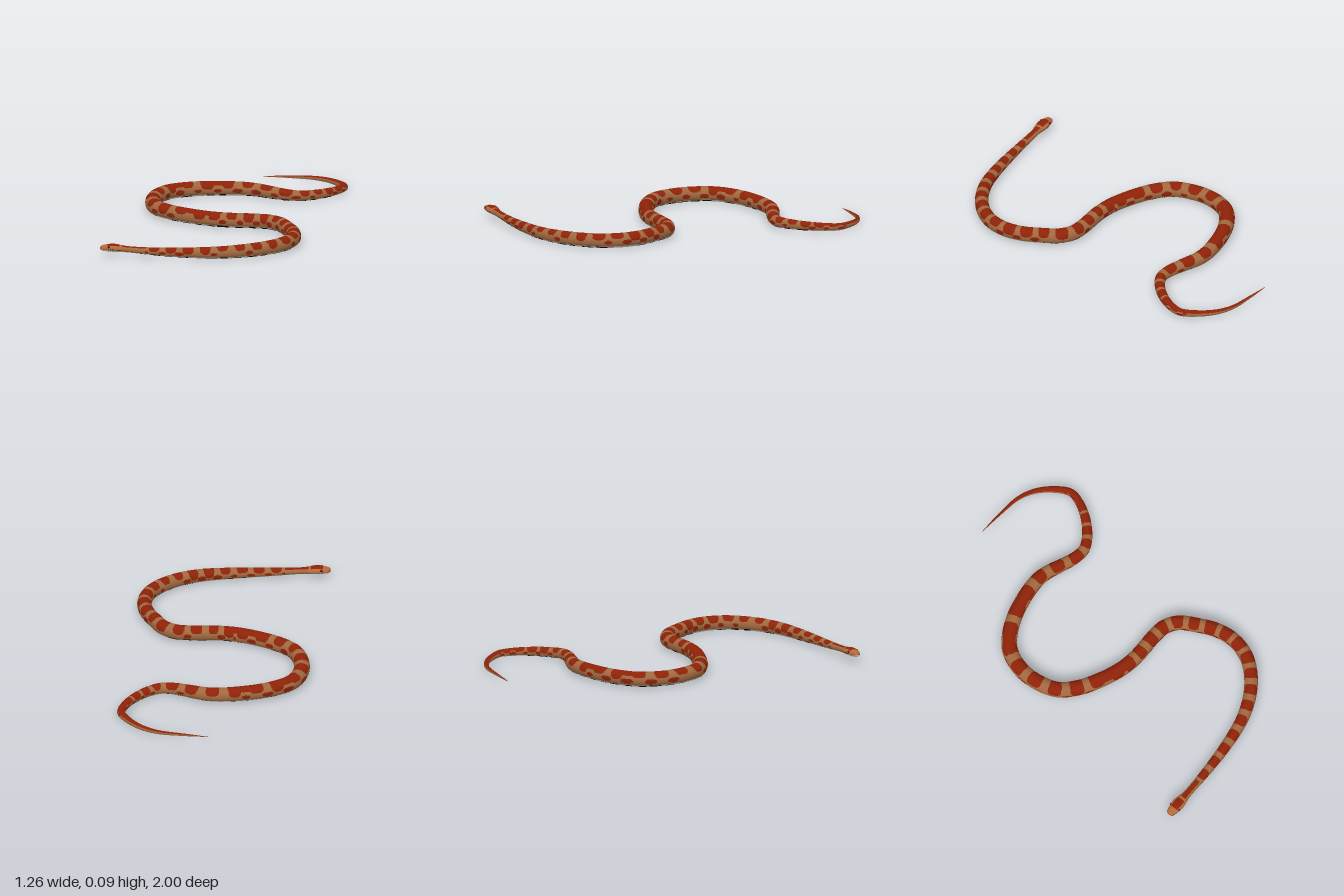
import * as THREE from 'three';

const mat = (name, color) => Object.assign(new THREE.MeshStandardMaterial({ color }), { name });

// spine on the ground plane, snout to tail: x, z
const SPINE = [
  [-0.63, 0.96], [-0.555, 0.961], [-0.49, 0.962], [-0.29, 0.963], [-0.13, 0.957], [0, 0.945],
  [0.13, 0.92], [0.265, 0.862], [0.37, 0.78], [0.434, 0.69], [0.462, 0.58], [0.448, 0.465],
  [0.40, 0.355], [0.35, 0.268], [0.28, 0.217], [0.196, 0.203], [0.03, 0.2], [-0.08, 0.18],
  [-0.21, 0.127], [-0.333, 0.053], [-0.42, -0.04], [-0.457, -0.185], [-0.447, -0.30],
  [-0.397, -0.407], [-0.317, -0.47], [-0.185, -0.524], [0.016, -0.552], [0.106, -0.54],
  [0.21, -0.497], [0.30, -0.463], [0.37, -0.457], [0.45, -0.497], [0.534, -0.58],
  [0.587, -0.67], [0.601, -0.74], [0.555, -0.83], [0.48, -0.91], [0.386, -0.96],
  [0.24, -0.985], [0.095, -1.0]
];

// distance from snout, half width, half height, centre height
const PROFILE = [
  [0, 0.001, 0.001, 0.05], [0.004, 0.016, 0.011, 0.05], [0.02, 0.026, 0.017, 0.051],
  [0.06, 0.034, 0.022, 0.053], [0.09, 0.036, 0.0225, 0.053], [0.125, 0.03, 0.02, 0.05],
  [0.16, 0.024, 0.018, 0.047], [0.25, 0.024, 0.02, 0.042], [0.4, 0.028, 0.026, 0.037],
  [0.63, 0.034, 0.034, 0.036], [0.9, 0.039, 0.04, 0.041], [1.3, 0.042, 0.043, 0.044],
  [2.0, 0.043, 0.0435, 0.044], [2.6, 0.046, 0.044, 0.0445], [3.1, 0.045, 0.043, 0.0435],
  [3.4, 0.041, 0.039, 0.0395], [3.7, 0.032, 0.031, 0.032], [3.9, 0.027, 0.026, 0.027],
  [4.1, 0.022, 0.02, 0.021], [4.35, 0.013, 0.013, 0.014], [4.55, 0.007, 0.007, 0.008],
  [4.68, 0.001, 0.001, 0.002]
];
const LENGTH = 4.68;

// smooth Hermite interpolation of one profile column
function profileAt(s, k) {
  let i = 0;
  while (i < PROFILE.length - 2 && s > PROFILE[i + 1][0]) i++;
  const slope = (n) => {
    const a = PROFILE[Math.max(n - 1, 0)], b = PROFILE[Math.min(n + 1, PROFILE.length - 1)];
    return (b[k] - a[k]) / (b[0] - a[0]);
  };
  const p = PROFILE[i], q = PROFILE[i + 1], d = q[0] - p[0];
  const t = Math.min(1, (s - p[0]) / d), t2 = t * t, t3 = t2 * t;
  return p[k] * (2 * t3 - 3 * t2 + 1) + q[k] * (3 * t2 - 2 * t3)
    + d * (slope(i) * (t3 - 2 * t2 + t) + slope(i + 1) * (t3 - t2));
}

const noise = (n) => { const v = Math.sin(n * 127.1 + 11.7) * 43758.5453; return v - Math.floor(v); };

const TAN = 0, RED = 1, BELLY = 2, BLACK = 3, ORANGE = 4;
const FUSED = [[2.05, 2.19], [2.85, 2.97], [3.1, 3.24], [3.96, 4.1]]; // saddles that run together

// saddle count along the body: wider spaced in the middle, closer on the tail
function saddlePhase(s) {
  if (s < 2.05) return (s - 0.32) / 0.1;
  return s < 3.67 ? 17.54 + (s - 2.05) / 0.125 : 30.5 + (s - 3.67) / 0.08;
}

// colour of a skin cell: s along the body, a in degrees away from the top, side -1 or 1
function skin(s, a, side) {
  if (s < 0.13) { // head
    if (a > 106) return BELLY;
    if (a > 94 && s > 0.055) return Math.floor(s / 0.007) % 2 ? BLACK : ORANGE;
    return a < 45 && s > 0.045 && s < 0.115 ? RED : ORANGE;
  }
  if (a > 128) { // belly with two rows of blocky checks
    const f = s / 0.08 + side * 0.2, cell = Math.floor(f), seed = cell + side * 0.3;
    const lo = 127 + 10 * noise(seed), hi = 156 + 22 * noise(seed + 300);
    const check = f - cell < 0.45 + 0.4 * noise(seed + 50) && noise(seed + 90) > 0.18;
    return check && s > 0.2 && s < 3.9 && a > lo && a < hi ? BLACK : BELLY;
  }
  if (s < 0.27) return a < 38 ? RED : TAN; // neck stripe
  if (s > 4.1) return a < 62 ? RED : TAN; // tail
  // saddles across the back, some drooping down the flank
  const phase = saddlePhase(s), k = Math.round(phase);
  const reach = 64 + 34 * noise(k + side * 0.3);
  const half = (s > 3.8 ? 0.36 : 0.29) + 0.08 * noise(k + 40);
  if ((Math.abs(phase - k) / half) ** 3 + (a / reach) ** 4 < 1) return RED;
  if (a < 55 && FUSED.some(([from, to]) => s > from && s < to)) return RED;
  // flank spots between saddles
  const g = Math.floor(phase), seed = g + side * 0.3;
  if (noise(seed + 170) < 0.25) return TAN;
  const size = 0.65 + 0.45 * noise(seed + 210);
  return ((phase - g - 0.5) / (0.27 * size)) ** 2 + ((a - 94) / (19 * size)) ** 2 < 1 ? RED : TAN;
}

// one closed skin swept along the spine, its cells grouped by colour
function bodyGeometry() {
  const rings = 1100, sides = 60;
  const curve = new THREE.CatmullRomCurve3(SPINE.map(([x, z]) => new THREE.Vector3(x, 0, z)));
  curve.arcLengthDivisions = 2500;
  const pos = [], faces = [[], [], [], [], []];
  const along = (i) => LENGTH * (i / rings) ** 1.25;
  for (let i = 0; i <= rings; i++) {
    const s = along(i), u = Math.min(1, s / LENGTH);
    const c = curve.getPointAt(u), t = curve.getTangentAt(u);
    const w = profileAt(s, 1), h = profileAt(s, 2), y = profileAt(s, 3);
    for (let j = 0; j < sides; j++) {
      const a = (j / sides) * Math.PI * 2, sin = Math.sin(a), cos = Math.cos(a);
      const rise = cos < 0 ? -((-cos) ** 0.85) : cos; // slightly flattened underside
      pos.push(c.x - t.z * w * sin, Math.max(0, y + h * rise), c.z + t.x * w * sin);
    }
  }
  for (let i = 0; i < rings; i++) {
    const s = (along(i) + along(i + 1)) / 2;
    for (let j = 0; j < sides; j++) {
      const deg = ((j + 0.5) / sides) * 360, side = deg < 180 ? 1 : -1;
      const k = (j + 1) % sides, p = i * sides, q = p + sides;
      faces[skin(s, deg < 180 ? deg : 360 - deg, side)].push(p + j, p + k, q + j, p + k, q + k, q + j);
    }
  }
  const geo = new THREE.BufferGeometry();
  geo.setAttribute('position', new THREE.Float32BufferAttribute(pos, 3));
  geo.setIndex(faces.flat());
  let start = 0;
  faces.forEach((f, m) => { geo.addGroup(start, f.length, m); start += f.length; });
  geo.computeVertexNormals();
  return geo;
}

export function createModel() {
  const model = new THREE.Group();
  model.name = 'snake';
  const black = mat('black', 0x100d0b);
  const iris = mat('iris', 0x6e3416);
  const materials = [mat('flankTan', 0xa0683f), mat('saddleRed', 0x8e2208), mat('bellyCream', 0xe0d6c4),
    black, mat('headOrange', 0xb4683a)];

  const body = new THREE.Mesh(bodyGeometry(), materials);
  body.name = 'body';
  model.add(body);

  // eyes and nostrils on both sides of the head
  for (const side of [-1, 1]) {
    const bead = (name, material, r, x, y, z) => {
      const mesh = new THREE.Mesh(new THREE.SphereGeometry(r, 20, 14), material);
      mesh.name = name;
      mesh.scale.z = 0.6;
      mesh.position.set(x, y, 0.96 + side * z);
      model.add(mesh);
    };
    bead('eye', iris, 0.009, -0.575, 0.06, 0.0285);
    bead('pupil', black, 0.006, -0.575, 0.06, 0.0312);
    bead('nostril', black, 0.0025, -0.619, 0.056, 0.0205);
  }
  return model;
}
